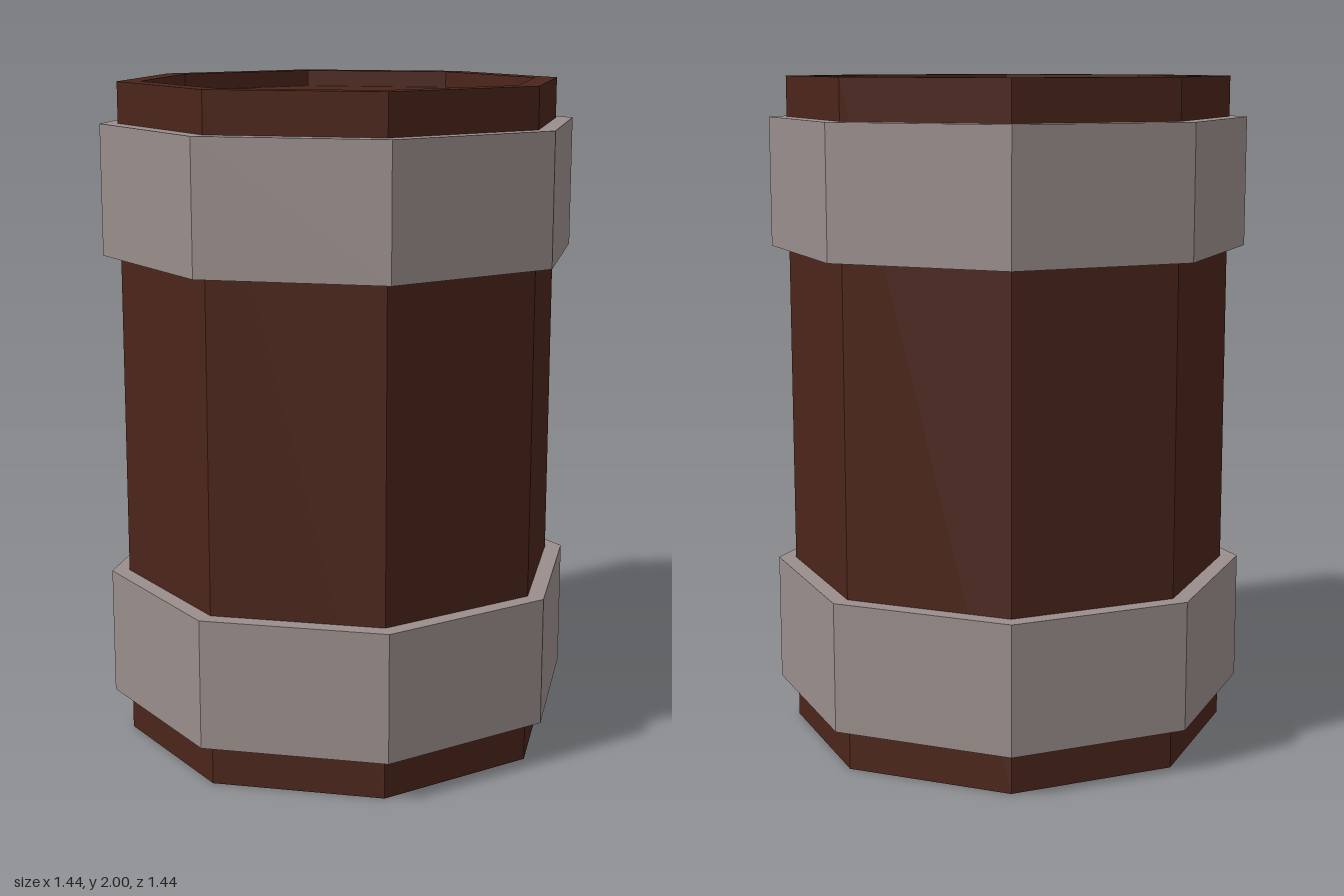
import * as THREE from 'three';

const SIDES = 8;

// Eight-sided turned part; profile is [radius, y] pairs running up the outside
function turned(name, profile, material) {
  const points = profile.map(([r, y]) => new THREE.Vector2(r, y));
  const geometry = new THREE.LatheGeometry(points, SIDES).toNonIndexed();
  geometry.computeVertexNormals();
  const mesh = new THREE.Mesh(geometry, material);
  mesh.name = name;
  return mesh;
}

export function createModel() {
  const group = new THREE.Group();
  group.name = 'barrel';
  const wood = new THREE.MeshStandardMaterial({ color: 0x4b251a, flatShading: true });
  const metal = new THREE.MeshStandardMaterial({ color: 0x998e8c, flatShading: true });

  // Wooden body with a shallow recessed lid inside the rim
  const R = 0.665, rim = 0.597;
  group.add(turned('body', [[0, 0], [R, 0], [R, 2], [rim, 2], [rim, 1.95], [0, 1.95]], wood));

  // Two metal hoops around the body
  const outer = 0.718, height = 0.387;
  for (const [name, y] of [['lowerHoop', 0.128], ['upperHoop', 1.492]]) {
    const top = y + height;
    group.add(turned(name, [[R, y], [outer, y], [outer, top], [R, top]], metal));
  }
  return group;
}
